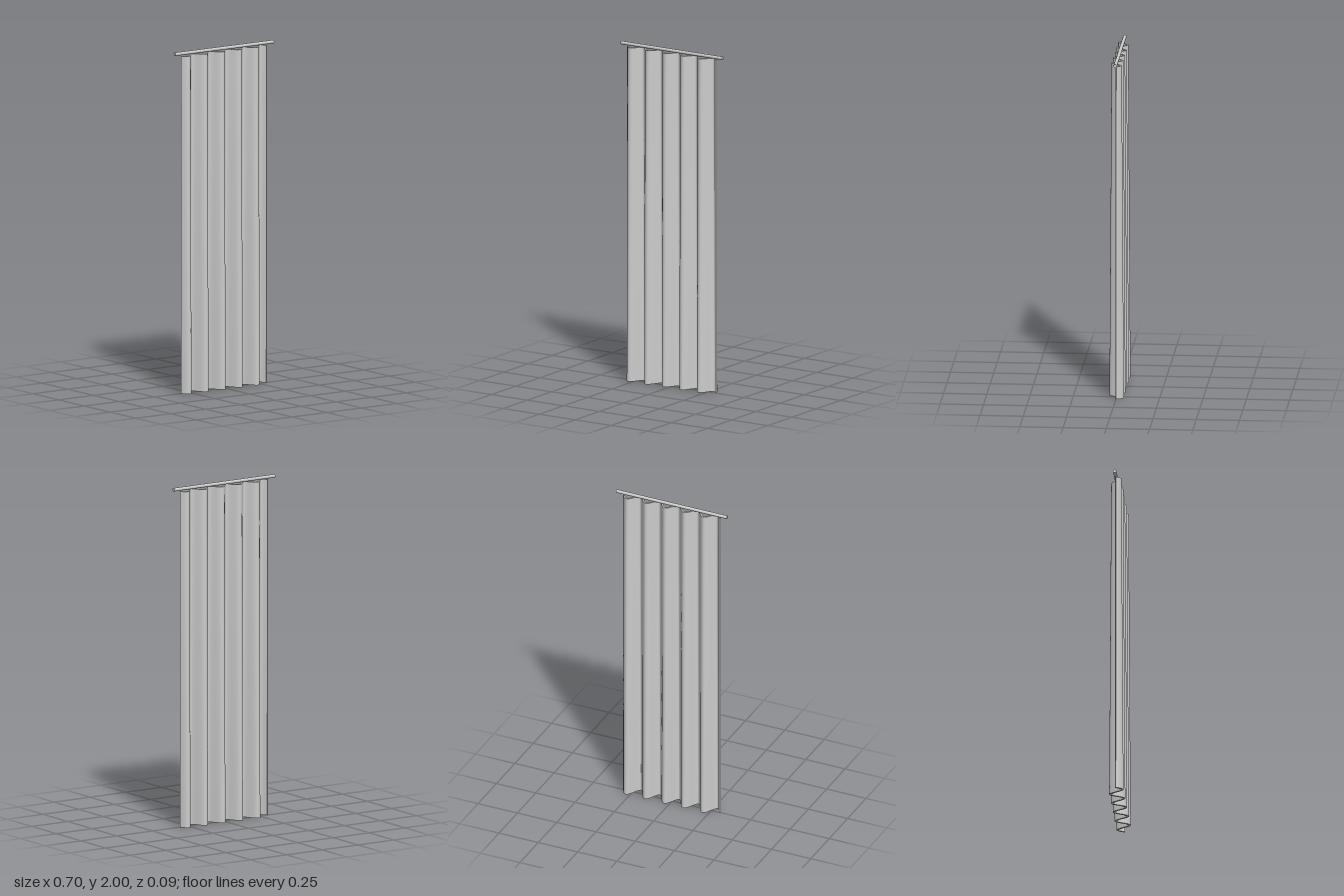
import * as THREE from 'three';

const WIDTH = 0.61, HEIGHT = 1.975, THICK = 0.01, FOLDS = 5;

// A thin box whose front and back follow a sine wave that deepens towards the hem.
function pleatedSheet() {
  const geo = new THREE.BoxGeometry(WIDTH, HEIGHT, THICK, FOLDS * 24, 10, 1);
  geo.translate(0, HEIGHT / 2, 0);
  const pos = geo.attributes.position;
  const k = (2 * Math.PI * FOLDS) / WIDTH;
  for (let i = 0; i < pos.count; i++) {
    const x = pos.getX(i), y = pos.getY(i), offset = pos.getZ(i);
    const depth = THREE.MathUtils.lerp(0.039, 0.027, y / HEIGHT);
    const angle = k * (x + WIDTH / 2);
    // Offset along the wave's normal to keep the cloth evenly thick
    const slope = depth * k * Math.cos(angle);
    const len = Math.hypot(1, slope);
    pos.setXYZ(i, x - (offset * slope) / len, y, depth * Math.sin(angle) + offset / len);
  }
  geo.computeVertexNormals();
  return geo;
}

export function createModel() {
  const model = new THREE.Group();
  model.name = 'curtain';
  const material = new THREE.MeshStandardMaterial({ color: 0xcccccc });

  // Pleated cloth
  const cloth = new THREE.Mesh(pleatedSheet(), material);
  cloth.name = 'curtainCloth';
  model.add(cloth);

  // Rod just above the cloth
  const rod = new THREE.Mesh(new THREE.CylinderGeometry(0.01, 0.01, 0.705, 16), material);
  rod.name = 'curtainRod';
  rod.rotation.z = Math.PI / 2;
  rod.position.y = 1.99;
  model.add(rod);

  return model;
}
